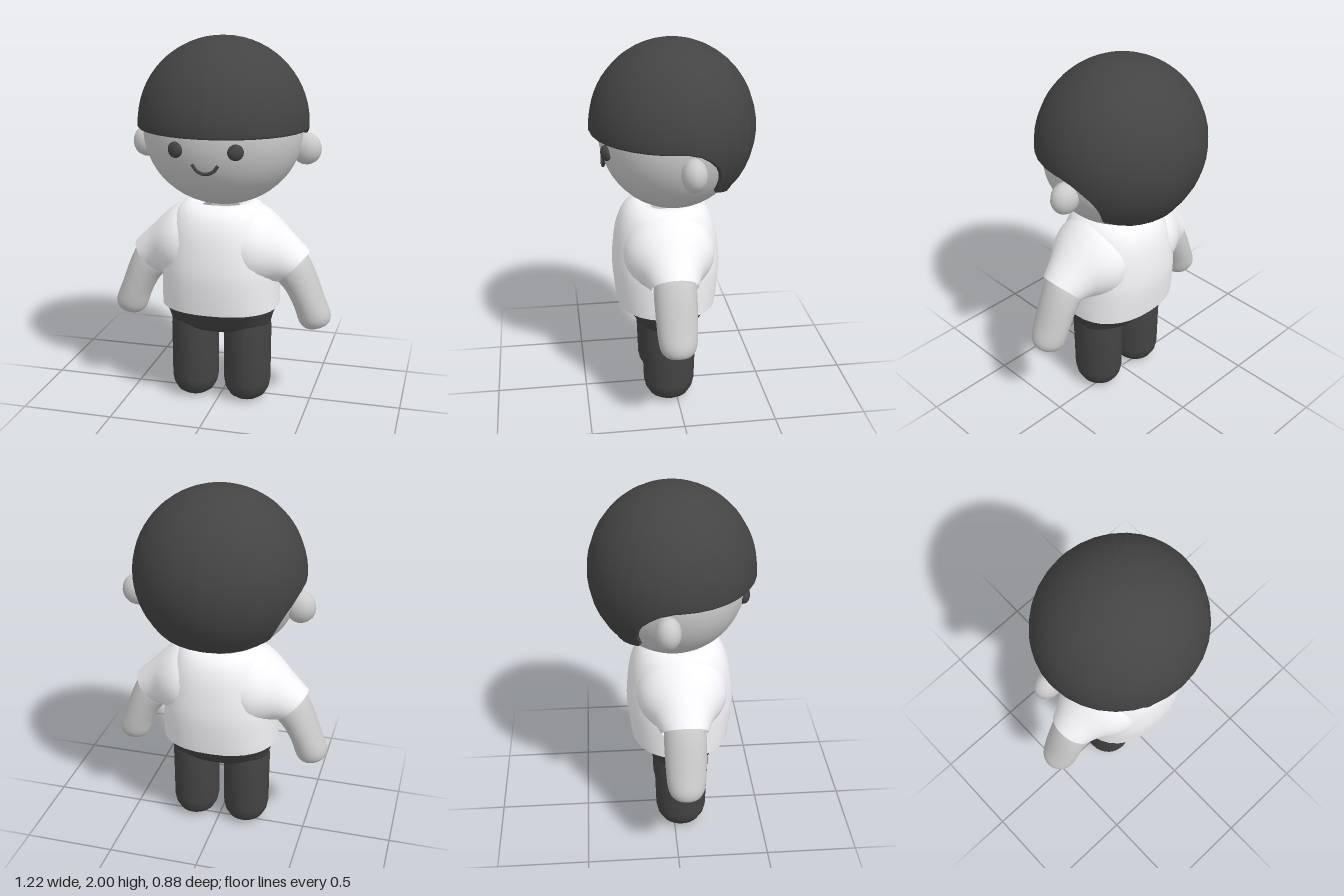
import * as THREE from 'three';

const paint = (color) => new THREE.MeshStandardMaterial({ color, side: THREE.DoubleSide });
const skin = paint(0xcccccc), dark = paint(0x444444), cloth = paint(0xf4f4f8);
const BODY_Z = 0.04;

// Joins closed rings of points (listed top to bottom) into a smooth skin
function loft(rings) {
  const n = rings[0].length, pos = [], index = [];
  rings.forEach((ring, r) => ring.forEach((p, i) => {
    pos.push(...p);
    if (r === rings.length - 1) return;
    const a = r * n + i, b = r * n + (i + 1) % n;
    index.push(a, a + n, b + n, a, b + n, b);
  }));
  const g = new THREE.BufferGeometry();
  g.setAttribute('position', new THREE.Float32BufferAttribute(pos, 3));
  g.setIndex(index);
  g.computeVertexNormals();
  return g;
}

// Ring spanning outer point (tx, ty) and inner point (bx, by), with half depth rz
function ring([tx, ty, bx, by, rz], power = 2, n = 32) {
  const bend = (v) => Math.sign(v) * Math.abs(v) ** (2 / power);
  return Array.from({ length: n }, (_, i) => {
    const a = (i / n) * Math.PI * 2, s = bend(Math.sin(a)), c = bend(Math.cos(a));
    return [(tx + bx) / 2 + (tx - bx) / 2 * s, (ty + by) / 2 + (ty - by) / 2 * s, BODY_Z + rz * c];
  });
}
// Level ring centred on x = 0
const level = ([y, rx, rz], power) => ring([rx, y, -rx, y, rz], power);
const mirrored = ([tx, ty, bx, by, rz]) => [-bx, by, -tx, ty, rz];

// Densifies a few key rows with a smooth curve through them
function smooth(rows, steps = 3) {
  const out = [], last = rows.length - 1;
  for (let k = 0; k <= last * steps; k++) {
    const i = Math.min(Math.floor(k / steps), last - 1), t = k / steps - i;
    const [p, a, b, q] = [i - 1, i, i + 1, i + 2].map((j) => rows[Math.max(0, Math.min(last, j))]);
    out.push(a.map((v, m) => 0.5 * (2 * v + (b[m] - p[m]) * t
      + (2 * p[m] - 5 * v + 4 * b[m] - q[m]) * t * t + (3 * v - p[m] - 3 * b[m] + q[m]) * t ** 3)));
  }
  return out;
}

// Hair shell whose lower edge depends on the direction around the head
function hairGeometry() {
  const C = [0, 1.545, 0], R = [0.458, 0.455, 0.44];
  // [cosine of direction from the front, edge height]
  const edge = [[1, 1.535], [-0.04, 1.53], [-0.2, 1.512], [-0.32, 1.48], [-0.42, 1.44], [-0.48, 1.4],
    [-0.515, 1.35], [-0.52, 1.29], [-0.55, 1.275], [-0.68, 1.258], [-0.82, 1.24], [-1, 1.23]];
  const height = (s) => {
    let k = 1;
    while (k < edge.length - 1 && s < edge[k][0]) k++;
    const [s0, h0] = edge[k - 1], [s1, h1] = edge[k];
    return h0 + (h1 - h0) * (s - s0) / (s1 - s0);
  };
  const half = [];
  for (let i = 0; i <= 16; i++) half.push(Math.acos(0.9999 - 0.0) + (i / 16) * Math.PI * 0.98);
  edge.slice(1, -1).forEach(([s]) => half.push(Math.acos(s)));
  half.sort((a, b) => a - b);
  const around = [...half, ...half.map((a) => Math.PI * 2 - a).reverse()];
  const point = (a, phi, k, drop) => [
    C[0] + R[0] * k * Math.sin(phi) * Math.sin(a),
    C[1] + R[1] * Math.cos(phi) * (drop ? 1 : k) - drop,
    C[2] + R[2] * k * Math.sin(phi) * Math.cos(a)];
  const end = around.map((a) => Math.acos((height(Math.cos(a)) - C[1]) / R[1]));
  const rings = [];
  for (let r = 0; r <= 16; r++) rings.push(around.map((a, i) => point(a, end[i] * r / 16, 1, 0)));
  // rounded rim, turning inwards to the head
  [[0.985, 0.01], [0.95, 0.013], [0.85, 0.002]].forEach(([k, drop]) =>
    rings.push(around.map((a, i) => point(a, end[i], k, drop))));
  return loft(rings);
}

export function createModel() {
  const model = new THREE.Group();
  const add = (name, geometry, material, x = 0, y = 0, z = 0) => {
    const mesh = new THREE.Mesh(geometry, material);
    mesh.name = name;
    mesh.position.set(x, y, z);
    model.add(mesh);
    return mesh;
  };

  // Head, hair and mouth
  add('head', new THREE.SphereGeometry(1, 40, 28).scale(0.43, 0.405, 0.39), skin, 0, 1.51, 0);
  add('hair', hairGeometry(), dark);
  const smile = new THREE.CatmullRomCurve3([[-0.068, 1.385, 0.366], [-0.042, 1.352, 0.369],
    [0, 1.338, 0.37], [0.042, 1.352, 0.369], [0.068, 1.385, 0.366]].map((p) => new THREE.Vector3(...p)));
  add('mouth', new THREE.TubeGeometry(smile, 20, 0.009, 8), dark);

  // Shirt body: [height, half width, half depth]
  const torso = [[1.1, 0.1, 0.08], [1.128, 0.15, 0.135], [1.118, 0.2, 0.185], [1.07, 0.245, 0.235],
    [0.97, 0.285, 0.272], [0.8, 0.315, 0.292], [0.68, 0.32, 0.286], [0.555, 0.322, 0.27]];
  add('shirtBody', loft(smooth(torso).map((r) => level(r, 2.3))), cloth);

  // Hips, tapering into the legs
  const hips = [[0.6, 0.3, 0.25], [0.55, 0.308, 0.243], [0.5, 0.29, 0.208], [0.45, 0.275, 0.17],
    [0.415, 0.235, 0.13], [0.405, 0.12, 0.07], [0.405, 0, 0]];
  add('hips', loft(smooth(hips).map((r) => level(r, 2.3))), dark);

  // Paired parts: rows hold outer point, inner point, half depth
  const sleeve = [[0.12, 1.12, 0.02, 0.72, 0.24], [0.215, 1.11, 0.16, 0.66, 0.245],
    [0.3, 1.052, 0.24, 0.68, 0.215], [0.39, 0.965, 0.29, 0.695, 0.16], [0.487, 0.87, 0.322, 0.7, 0.125]];
  const arm = [[0.43, 0.9, 0.29, 0.75, 0.1], [0.475, 0.85, 0.325, 0.695, 0.112], [0.52, 0.76, 0.365, 0.65, 0.112],
    [0.573, 0.62, 0.41, 0.565, 0.107], [0.602, 0.55, 0.433, 0.495, 0.1], [0.61, 0.51, 0.455, 0.458, 0.087],
    [0.598, 0.475, 0.49, 0.44, 0.058], [0.54, 0.444, 0.54, 0.444, 0]];
  const legProfile = [[0, 0], [0.07, 0.004], [0.1, 0.025], [0.122, 0.065], [0.13, 0.11], [0.13, 0.28],
    [0.131, 0.42], [0.12, 0.52]].map(([x, y]) => new THREE.Vector2(x, y));
  for (const side of [1, -1]) {
    const label = side > 0 ? 'left' : 'right';
    const limb = (rows) => loft(smooth(rows).map((r) => ring(side > 0 ? r : mirrored(r))));
    add(label + 'Sleeve', limb(sleeve), cloth);
    add(label + 'Arm', limb(arm), skin);
    const leg = new THREE.LatheGeometry(legProfile, 28).scale(1, 1, 1.06);
    // legs widen slightly in depth towards the hips
    const p = leg.attributes.position;
    for (let i = 0; i < p.count; i++) p.setZ(i, p.getZ(i) * (1 + 0.22 * p.getY(i)));
    leg.computeVertexNormals();
    add(label + 'Leg', leg, dark, side * 0.15, 0, BODY_Z);
    add(label + 'Ear', new THREE.SphereGeometry(1, 14, 10).scale(0.082, 0.086, 0.066), skin,
      side * 0.442, 1.413, -0.05);
    const eye = add(label + 'Eye', new THREE.SphereGeometry(1, 20, 14).scale(0.042, 0.042, 0.026), dark,
      side * 0.157, 1.455, 0.362);
    eye.rotation.y = side * 0.35;
  }
  return model;
}
